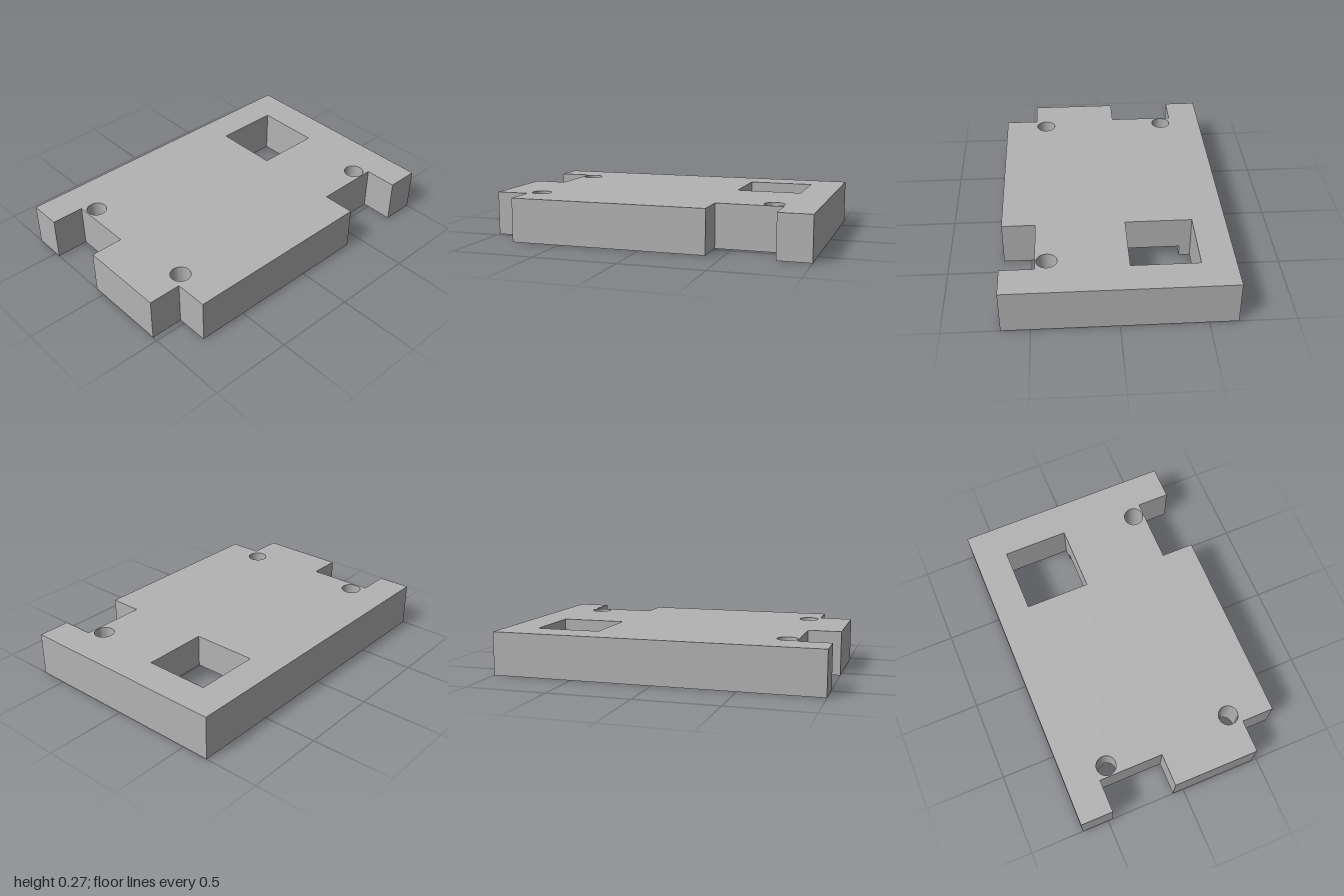
import * as THREE from 'three';
import { mergeGeometries, toCreasedNormals } from 'three/addons/utils/BufferGeometryUtils.js';

const HEIGHT = 0.267, RECESS = 0.067, R = 0.06;
const HX = 0.733, HZ = 0.4; // screw hole centres, also the recess half sizes

// Plan points are (x, z)
const plan = (...pairs) => pairs.map(([x, z]) => new THREE.Vector2(x, z));

function arc(cx, cz, fromDeg, toDeg) {
  const n = Math.round(Math.abs(toDeg - fromDeg) / 11.25);
  return Array.from({ length: n + 1 }, (_, i) => {
    const a = THREE.MathUtils.degToRad(fromDeg + (toDeg - fromDeg) * i / n);
    return new THREE.Vector2(cx + R * Math.cos(a), cz + R * Math.sin(a));
  });
}

// Vertical wall along a closed loop; hole loops face inward
function wall(loop, y0, y1, isHole) {
  const pts = THREE.ShapeUtils.isClockWise(loop) === isHole ? loop : [...loop].reverse();
  const pos = [];
  pts.forEach((a, i) => {
    const b = pts[(i + 1) % pts.length];
    pos.push(a.x, y0, a.y, a.x, y1, a.y, b.x, y1, b.y);
    pos.push(a.x, y0, a.y, b.x, y1, b.y, b.x, y0, b.y);
  });
  const g = new THREE.BufferGeometry();
  g.setAttribute('position', new THREE.Float32BufferAttribute(pos, 3));
  return g;
}

// Horizontal face facing up or down
function cap(loop, holes, y, up) {
  const shape = new THREE.Shape(loop);
  shape.holes = holes.map((h) => new THREE.Path(h));
  const g = new THREE.ShapeGeometry(shape);
  g.rotateX(Math.PI / 2).translate(0, y, 0);
  if (up) {
    const idx = g.index.array;
    for (let i = 0; i < idx.length; i += 3) [idx[i], idx[i + 1]] = [idx[i + 1], idx[i]];
  }
  const flat = g.toNonIndexed();
  flat.deleteAttribute('uv');
  flat.deleteAttribute('normal');
  return flat;
}

export function createModel() {
  const grey = new THREE.MeshStandardMaterial({ color: 0xb3b3b3 });
  grey.name = 'grey';

  // Outline with side notch, cut corner and front notch
  const outline = plan(
    [-1, -0.667], [1, -0.667], [1, 0.667], [0.8, 0.667], [0.8, 0.467], [0.4, 0.467],
    [0.4, 0.667], [-0.8, 0.667], [-0.8, 0.467], [-1, 0.467], [-1, -0.067],
    [-0.8, -0.067], [-0.8, -0.467], [-1, -0.467],
  );
  const windowLoop = plan([0.4, -0.467], [0.8, -0.467], [0.8, -0.067], [0.4, -0.067]);
  const screwHoles = [[-HX, -HZ], [-HX, HZ], [HX, HZ]]
    .map(([x, z]) => arc(x, z, 0, 360).slice(0, -1));

  // Underside opening: recess joined with the window and screw holes
  const opening = [
    ...plan([HX, -0.067], [0.8, -0.067], [0.8, -0.467], [0.4, -0.467], [0.4, -HZ]),
    ...arc(-HX, -HZ, 0, -270), ...arc(-HX, HZ, -90, -360), ...arc(HX, HZ, 180, -90),
  ];
  // Recess ceiling, less the window and hole quarters
  const ceiling = [
    ...plan([HX, -0.067], [0.4, -0.067], [0.4, -HZ]),
    ...arc(-HX, -HZ, 0, 90), ...arc(-HX, HZ, -90, 0), ...arc(HX, HZ, 180, 270),
  ];

  const throughCuts = [windowLoop, ...screwHoles];
  const parts = {
    plateShell: [
      wall(outline, 0, HEIGHT, false),
      cap(outline, throughCuts, HEIGHT, true),
      cap(outline, [opening], 0, false),
    ],
    windowAndScrewHoles: throughCuts.map((loop) => wall(loop, RECESS, HEIGHT, true)),
    undersideRecess: [wall(opening, 0, RECESS, true), cap(ceiling, [], RECESS, false)],
  };

  const model = new THREE.Group();
  model.name = 'notchedPlate';
  for (const [name, geometries] of Object.entries(parts)) {
    const mesh = new THREE.Mesh(toCreasedNormals(mergeGeometries(geometries), 0.5), grey);
    mesh.name = name;
    model.add(mesh);
  }
  return model;
}
